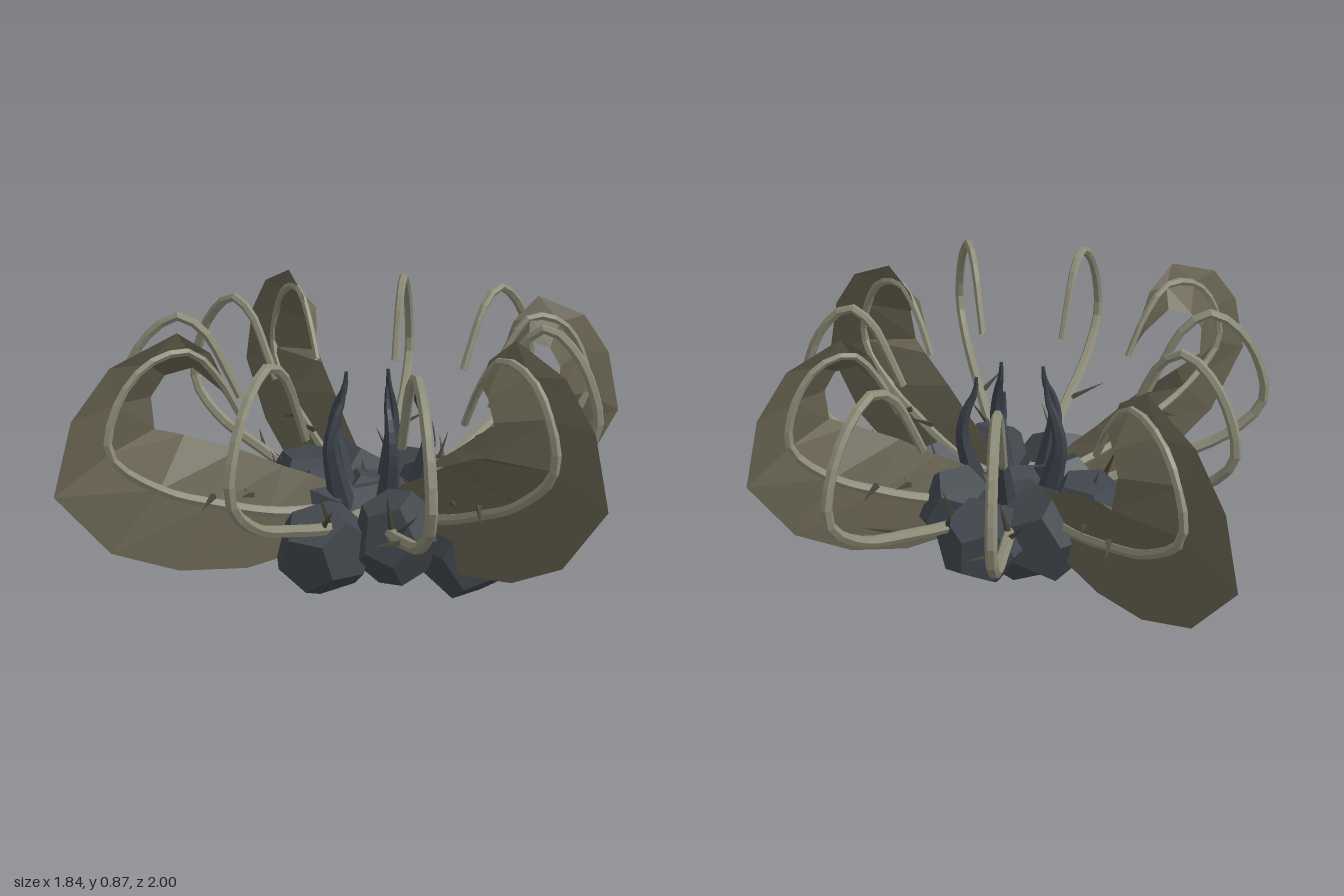
import * as THREE from 'three';

const V = (x, y, z) => new THREE.Vector3(x, y, z);
const mat = (name, color, extra = {}) =>
  Object.assign(new THREE.MeshStandardMaterial({ color, flatShading: true, ...extra }), { name });

const rockMat = mat('slate rock', 0x40464c);
const clawMat = mat('dark claw', 0x3c424b);
const leafMat = mat('olive leaf', 0x676250, { side: THREE.DoubleSide });
const stalkMat = mat('pale stalk', 0x8d8c78, { side: THREE.DoubleSide });
const thornMat = mat('dark thorn', 0x49463a);

function mesh(name, geometry, material) {
  const m = new THREE.Mesh(geometry, material);
  m.name = name;
  return m;
}

// Tube whose radius shrinks from r0 at the base to r1 at the tip
function taperedTube(points, r0, r1, steps, sides, power = 1) {
  const curve = new THREE.CatmullRomCurve3(points);
  const geo = new THREE.TubeGeometry(curve, steps, 1, sides, false);
  const pos = geo.attributes.position;
  const v = new THREE.Vector3();
  for (let i = 0; i <= steps; i++) {
    const t = i / steps;
    const c = curve.getPointAt(t);
    const r = r0 + (r1 - r0) * Math.pow(t, power);
    for (let j = 0; j <= sides; j++) {
      const k = i * (sides + 1) + j;
      v.fromBufferAttribute(pos, k).sub(c).multiplyScalar(r).add(c);
      pos.setXYZ(k, v.x, v.y, v.z);
    }
  }
  geo.computeVertexNormals();
  return geo;
}

// Profiles as [distance from the centre, height]; distances are scaled per arm
const STALK = [[.08, .24], [.34, .27], [.62, .345], [.87, .43], [1, .54], [.965, .68], [.87, .79],
  [.76, .84], [.66, .79], [.59, .69], [.53, .59]];
const OUTER = [[.12, .22], [.3, .14], [.44, .13], [.65, .17], [.85, .27], [1, .47], [.94, .67],
  [.825, .8], [.63, .872], [.53, .8], [.44, .6]];
const MIDDLE = [[.1, .26], [.25, .27], [.36, .29], [.52, .345], [.69, .42], [.83, .55], [.8, .69],
  [.71, .79], [.59, .81], [.51, .73], [.44, .6]];
const INNER = [[.08, .3], [.2, .37], [.29, .41], [.42, .48], [.58, .545], [.66, .57], [.67, .67],
  [.63, .73], [.56, .75], [.49, .68], [.44, .6]];
const INNER_TILT = [.02, .03, .04, .055, .08, .1, .09, .08, .05, .02, 0];
const OUTER_TILT = [0, -.01, -.015, -.02, -.03, -.045, -.04, -.03, -.02, -.01, 0];

// Thorn cone running from a point along a direction
function thorn(at, dir, length) {
  const geo = new THREE.ConeGeometry(.011, length, 4).translate(0, length / 2, 0);
  const m = mesh('thorn', geo, thornMat);
  m.position.copy(at);
  m.quaternion.setFromUnitVectors(V(0, 1, 0), dir.clone().normalize());
  return m;
}

// Arm group whose local +x points outward to (x, z)
function arm(name, x, z) {
  const g = new THREE.Group();
  g.name = name;
  g.rotation.y = Math.atan2(-z, x);
  return g;
}

function stalk(x, z) {
  const g = arm('stalk', x, z);
  const s = Math.hypot(x, z);
  g.add(mesh('stalkStem', taperedTube(STALK.map(([r, y]) => V(r * s, y, 0)), .02, .013, 28, 6), stalkMat));
  g.add(thorn(V(.6 * s, .34, 0), V(.09, .03, .09), .15));
  g.add(thorn(V(.42 * s, .29, 0), V(.05, .08, -.06), .11));
  g.add(thorn(V(.36 * s, .28, 0), V(.04, .12, .02), .14));
  return g;
}

function leaf(x, z) {
  const g = arm('leaf', x, z);
  const s = Math.hypot(x, z);
  const pts = [], idx = [];
  OUTER.forEach((o, i) => {
    pts.push(o[0] * s, o[1], OUTER_TILT[i]);
    pts.push(MIDDLE[i][0] * s, MIDDLE[i][1], 0);
    pts.push(INNER[i][0] * s, INNER[i][1], INNER_TILT[i]);
    if (i === OUTER.length - 1) return;
    for (const k of [0, 1]) {
      const a = i * 3 + k;
      idx.push(a, a + 3, a + 1, a + 1, a + 3, a + 4);
    }
  });
  const geo = new THREE.BufferGeometry();
  geo.setAttribute('position', new THREE.Float32BufferAttribute(pts, 3));
  geo.setIndex(idx);
  geo.computeVertexNormals();
  g.add(mesh('leafBlade', geo, leafMat));
  // midrib along the fold
  g.add(mesh('leafRib', taperedTube(MIDDLE.map(([r, y]) => V(r * s, y, 0)), .019, .011, 28, 6), stalkMat));
  for (const side of [-1, 1]) {
    g.add(thorn(V(.42 * s, .36, .02 * side), V(.06, .02, .05 * side), .08));
    g.add(thorn(V(.54 * s, .38, .02 * side), V(.06, -.02, .05 * side), .08));
  }
  return g;
}

export function createModel() {
  const model = new THREE.Group();
  model.name = 'thornPlant';

  // Boulder cluster: centre and radii
  const rocks = [
    [.3, .175, .29, .155, .175, .14], [-.14, .19, .25, .15, .145, .125],
    [.06, .23, .32, .13, .15, .1], [-.09, .22, .04, .13, .14, .13],
    [.27, .24, .05, .13, .14, .13], [-.09, .25, -.14, .14, .135, .135],
    [.06, .22, -.16, .14, .16, .12], [.25, .22, -.13, .14, .14, .13],
    [.09, .17, -.04, .16, .16, .15], [.08, .21, .07, .17, .12, .13],
  ];
  const cluster = new THREE.Group();
  cluster.name = 'rockCluster';
  rocks.forEach(([x, y, z, a, b, c], i) => {
    const geo = new THREE.DodecahedronGeometry(1.04)
      .rotateX(i * 1.3).rotateY(.4 + i * 2.1).rotateZ(i * .7).scale(a, b, c).translate(x, y, z);
    cluster.add(mesh('rock', geo, rockMat));
  });
  model.add(cluster);

  // Arms and claws radiate from one centre
  const crown = new THREE.Group();
  crown.name = 'crown';
  crown.position.set(.07, 0, .07);
  model.add(crown);

  [[-.47, -.55], [.36, -.79], [.7, -.46], [.57, .36], [-.13, .92], [-.57, .65], [-.75, -.23]]
    .forEach(([x, z]) => crown.add(stalk(x, z)));

  [[-1, .265], [.85, -.015], [.355, .82], [-.155, -1.07]].forEach(([x, z]) => crown.add(leaf(x, z)));

  // Ring of inward-curving claws
  const path = [[.12, .26], [.145, .36], [.165, .46], [.15, .54], [.122, .6], [.115, .655]];
  const clawCount = 5;
  for (let i = 0; i < clawCount; i++) {
    const a = Math.PI / 2 + i * Math.PI * 2 / clawCount;
    const claw = arm('claw', Math.cos(a), Math.sin(a));
    claw.add(mesh('clawHorn', taperedTube(path.map(([r, y]) => V(r, y, 0)), .042, .005, 12, 6), clawMat));
    crown.add(claw);
  }
  return model;
}
